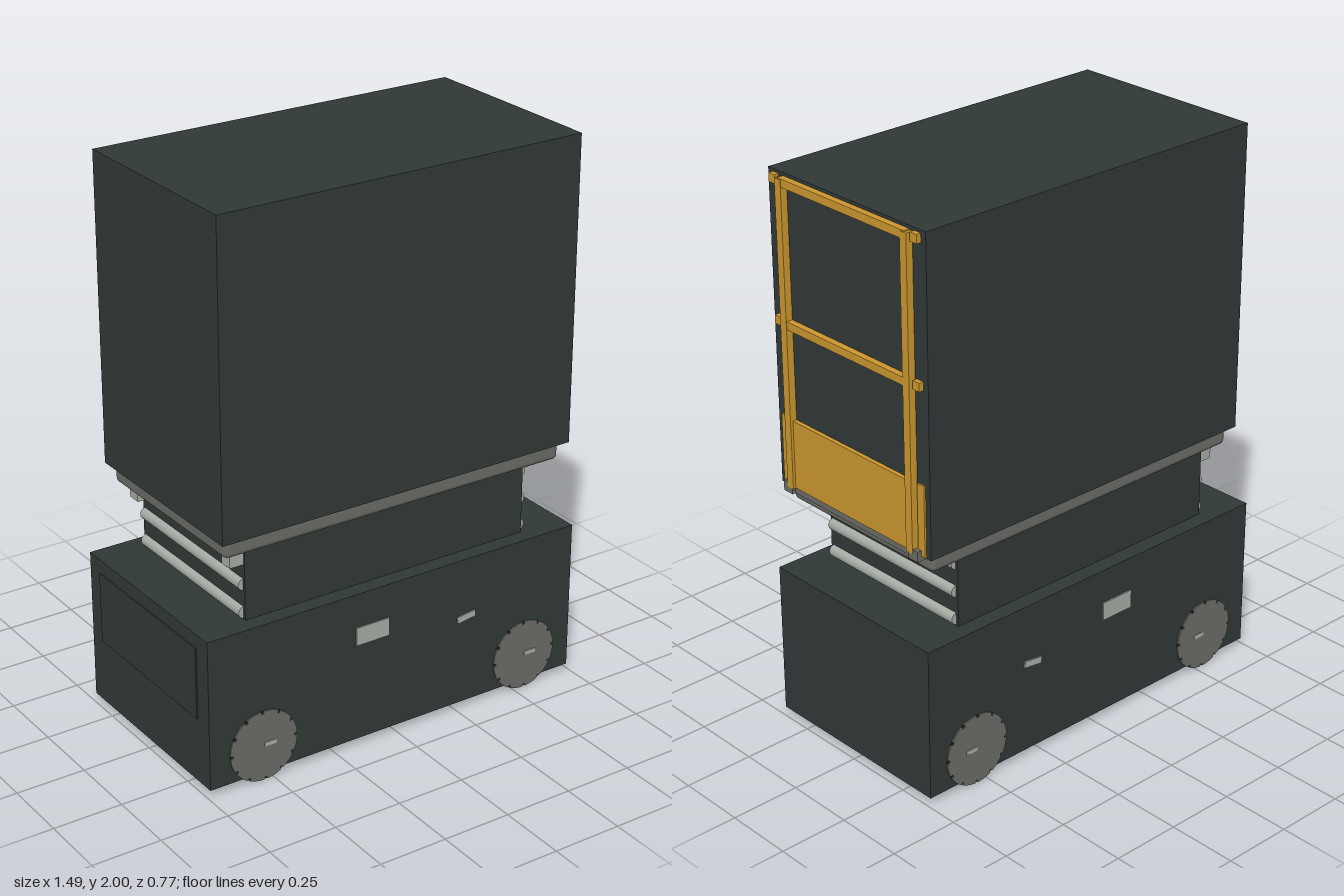
import * as THREE from 'three';
import { RoundedBoxGeometry } from 'three/addons/geometries/RoundedBoxGeometry.js';

function mat(name, color) {
  const m = new THREE.MeshStandardMaterial({ color });
  m.name = name;
  return m;
}

export function createModel() {
  const root = new THREE.Group();
  const body = mat('dark slate', 0x2f3836);
  const tyre = mat('tyre black', 0x1d2222);
  const steel = mat('warm grey', 0x6a6a65);
  const light = mat('light grey', 0xa6aba4);
  const gold = mat('safety yellow', 0xca952e);

  function add(name, geo, material, parent = root) {
    const m = new THREE.Mesh(geo, material);
    m.name = name;
    parent.add(m);
    return m;
  }
  // Box given by its extents on each axis
  function box(name, material, x0, x1, y0, y1, z0, z1, parent = root) {
    const m = add(name, new THREE.BoxGeometry(x1 - x0, y1 - y0, z1 - z0), material, parent);
    m.position.set((x0 + x1) / 2, (y0 + y1) / 2, (z0 + z1) / 2);
    return m;
  }

  // Chassis, lift column and cabin
  box('chassis', body, -0.74, 0.74, 0.03, 0.58, -0.378, 0.378);
  box('endPanel', body, -0.745, -0.739, 0.27, 0.53, -0.31, 0.31);
  box('liftColumn', body, -0.56, 0.56, 0.575, 0.84, -0.32, 0.32);
  box('cabin', body, -0.672, 0.715, 0.9, 2, -0.372, 0.372);
  const tray = add('tray', new RoundedBoxGeometry(1.34, 0.075, 0.7, 3, 0.02), steel);
  tray.position.set(0.02, 0.871, 0);

  // Horizontal rollers on both ends of the lift column
  for (const s of [-1, 1]) {
    for (const y of [0.605, 0.706, 0.808]) {
      const r = add('roller', new THREE.CylinderGeometry(0.022, 0.022, 0.62, 16), light);
      r.rotation.x = Math.PI / 2;
      r.position.set(s * 0.557, y, 0);
    }
    box('columnBracket', light, -0.612, -0.56, 0.78, 0.83, s * 0.29 - 0.025, s * 0.29 + 0.025);
  }

  // Wheel outline with evenly spaced tread notches
  function notchedDisc(radius, notches) {
    const s = new THREE.Shape();
    for (let i = 0; i < notches; i++) {
      const a = (i / notches) * Math.PI * 2;
      const step = (Math.PI * 2) / notches;
      for (const [f, r] of [[0, 0.92], [0.14, 0.92], [0.16, 1], [0.44, 1], [0.72, 1], [0.98, 1]]) {
        const x = Math.cos(a + f * step) * r * radius;
        const y = Math.sin(a + f * step) * r * radius;
        if (i === 0 && f === 0) s.moveTo(x, y);
        else s.lineTo(x, y);
      }
    }
    return s;
  }

  // Wheels, labels and hub marks on both long sides
  const discShape = notchedDisc(0.13, 12);
  for (const side of [-1, 1]) {
    for (const wx of [-0.535, 0.54]) {
      const wheel = new THREE.Group();
      wheel.name = 'wheel';
      wheel.position.set(wx, 0.134, 0);
      root.add(wheel);
      const t = add('tyre', new THREE.CylinderGeometry(0.129, 0.129, 0.09, 36), tyre, wheel);
      t.rotation.x = Math.PI / 2;
      t.position.z = side * 0.336;
      const disc = add('wheelDisc',
        new THREE.ExtrudeGeometry(discShape, { depth: 0.005, bevelEnabled: false }), steel, wheel);
      disc.position.z = side > 0 ? 0.379 : -0.384;
      box('hubMark', light, 0.002, 0.048, -0.003, 0.012,
        side * 0.385 - 0.002, side * 0.385 + 0.002, wheel);
    }
    const z0 = side * 0.38 - 0.003, z1 = side * 0.38 + 0.003;
    box('sideLabel', light, -0.167, -0.035, 0.39, 0.456, z0, z1);
    const tag = box('smallLabel', light, 0.25, 0.325, 0.348, 0.372, z0, z1);
    tag.rotation.z = 0.13;
  }

  // Yellow gate on the cabin end
  const gate = new THREE.Group();
  gate.name = 'gate';
  root.add(gate);
  for (const s of [-1, 1]) {
    box('gatePost', gold, 0.715, 0.74, 0.91, 1.985, s * 0.297 - 0.015, s * 0.297 + 0.015, gate);
    box('gateSidePlate', gold, 0.714, 0.722, 0.905, 1.155, s * 0.335 - 0.016, s * 0.335 + 0.016, gate);
    box('gateFoot', steel, 0.69, 0.738, 0.888, 0.925, s * 0.312 - 0.022, s * 0.312 + 0.022, gate);
    for (const y of [1.494, 1.975])
      box('gateHinge', gold, 0.714, 0.732, y - 0.015, y + 0.015, s * 0.335 - 0.015, s * 0.335 + 0.015, gate);
  }
  for (const y of [1.494, 1.975])
    box('gateRail', gold, 0.715, 0.738, y - 0.014, y + 0.014, -0.3, 0.3, gate);
  box('gatePanel', gold, 0.715, 0.73, 0.912, 1.155, -0.29, 0.29, gate);
  box('gateSill', steel, 0.685, 0.725, 0.888, 0.912, -0.33, 0.33, gate);

  return root;
}
